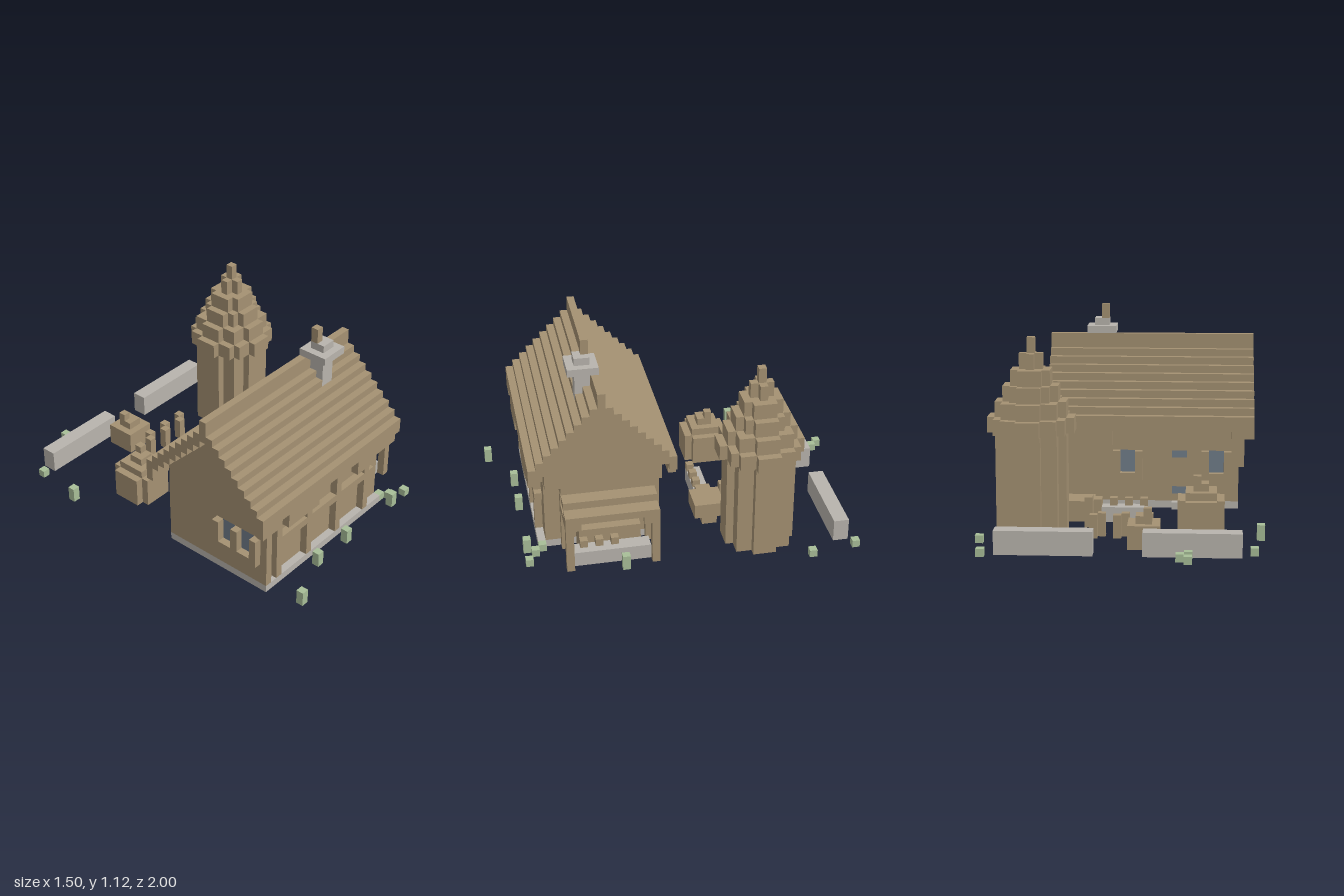
import * as THREE from 'three';

const U = 1 / 24; // one block

// The scene is an outer skin of unit blocks; each part fills a range of cells,
// and only faces open to the air are built.
export function createModel() {
  const mat = (name, color) => {
    const m = new THREE.MeshStandardMaterial({ color, side: THREE.DoubleSide });
    m.name = name;
    return m;
  };
  const wood = mat('brown wood', 0xa49172);
  const stone = mat('grey stone', 0xb8b4ad);
  const leaf = mat('pale green', 0xa8be98);
  const glass = mat('slate blue glass', 0x717d8a);

  const cells = new Map();
  const parts = new Map(); // part name -> { material, positions }
  const key = (p) => p.join(',');

  // fill a box of cells from its min and max corners; later parts replace earlier ones
  const box = (part, material, x0, x1, y0, y1, z0, z1) => {
    if (!parts.has(part)) parts.set(part, { material, positions: [] });
    for (let x = x0; x < x1; x++)
      for (let y = y0; y < y1; y++)
        for (let z = z0; z < z1; z++) cells.set(key([x, y, z]), { p: [x, y, z], part });
  };
  // round disc of blocks about the centre cell
  const disc = (part, material, cx, cz, r, y0, y1) => {
    for (let i = -r; i <= r; i++) {
      const h = Math.floor(Math.sqrt((r + 0.25) ** 2 - i * i));
      box(part, material, cx - h, cx + h + 1, y0, y1, cz + i, cz + i + 1);
    }
  };

  // ---- stepped roof and the walls below it
  const roofTop = (z) => { const d = Math.abs(z - 10); return d === 0 ? 23 : 22 - d; };
  for (let z = 1; z < 20; z++) {
    const t = roofTop(z);
    box('roof', wood, -17, 11, t - (z === 10 ? 3 : 2), t, z, z + 1);
    if (z < 3 || z > 17) continue;
    box('walls', wood, -15, 9, 1, t - 2, z, z + 1);
    box('rightGable', wood, 9, 11, 10, t - 2, z, z + 1);
  }
  box('foundation', stone, -15, 9, 0, 1, 3, 19);
  box('doorStep', stone, -9, -6, 0, 1, 2, 3);

  // uneven eave edges: start, end, lowest block
  for (const z of [1, 19])
    for (const [a, b, y] of [[-17, -14, 10], [-12, -6, 9], [2, 6, 9], [6, 10, 10]])
      box('eaveDrops', wood, a, b, y, 11, z, z + 1);

  // ---- timber frame on the front
  for (const x of [-15, -13, -7, -1, 5]) box('frontPosts', wood, x, x + 1, 1, 10, 18, 19);
  box('frontRail', wood, -13, 7, 6, 7, 18, 19);
  box('topBeam', wood, -15, 9, 10, 12, 18, 19);

  // ---- windows with sills and frames
  for (const [x0, x1] of [[-2, 2], [-14, -10]]) {
    box('windowGlass', glass, x0 + 1, x1 - 1, 5, 8, 3, 4);
    box('windowSills', wood, x0, x1, 4, 5, 2, 3);
    for (const x of [x0, x1 - 1]) box('windowFrames', wood, x, x + 1, 5, 8, 2, 3);
  }
  for (const y of [2, 7]) box('doorGlass', glass, -8, -6, y, y + 1, 3, 4);
  box('cornerGlass', glass, -14, -13, 5, 8, 17, 18);
  for (const z of [12, 15]) box('sideGlass', glass, -15, -14, 5, 8, z, z + 2);
  box('sideSill', wood, -16, -15, 4, 5, 11, 18);
  for (const z of [11, 14, 17]) box('sideFrames', wood, -16, -15, 5, 8, z, z + 1);

  // ---- chimney
  box('chimneyStack', stone, 3, 5, 18, 25, 11, 13);
  box('chimneyCap', stone, 2, 6, 23, 24, 10, 14);
  box('chimneyPot', wood, 3, 4, 25, 27, 11, 12);

  // ---- side porch with a bench and table
  for (let i = 0; i < 3; i++)
    box('porchRoof', wood, 9 + i * 2, 11 + i * 2, 9 - i, 10 - i, 4, 16);
  for (const z of [4, 15]) {
    box('porchPosts', wood, 14, 15, 0, 7, z, z + 1);
    box('porchPosts', wood, 9, 10, 0, 9, z, z + 1);
    box('porchBeams', wood, 10, 14, 6, 7, z, z + 1);
  }
  for (const z of [5, 14]) box('porchBrackets', wood, 14, 15, 6, 7, z, z + 1);
  box('workTable', wood, 9, 12, 0, 4, 6, 14);
  box('stoneBench', stone, 12, 14, 0, 2, 5, 15);
  for (const z of [9, 11, 13]) box('benchTools', wood, 12, 13, 2, 3, z, z + 1);

  // ---- round tower
  disc('towerShaft', wood, 11, -10, 4, 0, 13);
  for (let i = 0; i < 6; i++) disc('towerRoof', wood, 11, -10, 5 - i, 13 + i * 2, 15 + i * 2);

  // ---- yard: low walls, trough, table, crate
  for (const x of [-15, 3]) box('lowWalls', stone, x, x + 12, 0, 3, -21, -19);
  box('trough', stone, -3, 3, 0, 2, -5, -3);
  for (const x of [-3, -1, 1]) box('troughPegs', wood, x, x + 1, 2, 3, -4, -3);
  box('yardTable', wood, 4, 8, 1, 3, -6, -2);
  box('yardTable', wood, 4, 8, 0, 1, -5, -3);
  box('yardTable', wood, 3, 4, 0, 3, -5, -3);
  box('tablePost', wood, 4, 5, 0, 4, -8, -6);

  box('crate', wood, -5, -1, 0, 3, -18, -14);
  box('crate', wood, -4, -2, 3, 4, -17, -15);
  box('crate', wood, -4, -3, 4, 5, -17, -16);

  for (const [x, z] of [[-4, -12], [-3, -13], [-1, -12], [0, -13], [2, -12], [3, -13]])
    box('stumps', wood, x, x + 1, 0, 3, z, z + 1);

  // ---- haystack: rounded body with a stepped peak
  box('haystack', wood, -13, -7, 0, 4, -9, -5);
  box('haystack', wood, -11, -9, 5, 6, -8, -6);
  box('haystack', wood, -12, -8, 0, 4, -10, -4);
  box('haystack', wood, -12, -8, 4, 5, -9, -5);
  box('haystack', wood, -10, -9, 6, 7, -8, -7);

  // ---- small plants: x, z, height
  const spots = [
    [-9, -24, 1], [-8, -23, 1], [-9, -22, 1], [-17, -20, 1], [-18, -13, 2], [16, -22, 1],
    [17, -16, 1], [15, 8, 2], [-7, 20, 2], [-1, 20, 2], [9, 20, 2], [12, 20, 1], [10, 19, 1],
    [9, 18, 1], [-14, 23, 2],
  ];
  for (const [x, z, h] of spots) box('plants', leaf, x, x + 1, 0, h, z, z + 1);

  // ---- skin: one quad per open face, with the ground side left open
  for (const { p, part } of cells.values()) {
    const out = parts.get(part).positions;
    for (let a = 0; a < 3; a++) {
      for (const s of [-1, 1]) {
        const next = [...p];
        next[a] += s;
        if (next[1] < 0 || cells.has(key(next))) continue;
        const corner = (u, v) => {
          const c = [...p];
          if (s > 0) c[a] += 1;
          c[(a + 1) % 3] += u;
          c[(a + 2) % 3] += v;
          return c.map((n) => n * U);
        };
        const q = [corner(0, 0), corner(1, 0), corner(1, 1), corner(0, 1)];
        if (s < 0) q.reverse();
        for (const i of [0, 1, 2, 0, 2, 3]) out.push(...q[i]);
      }
    }
  }

  const root = new THREE.Group();
  for (const [name, { material, positions }] of parts) {
    const geometry = new THREE.BufferGeometry();
    geometry.setAttribute('position', new THREE.Float32BufferAttribute(positions, 3));
    geometry.computeVertexNormals();
    const mesh = new THREE.Mesh(geometry, material);
    mesh.name = name;
    root.add(mesh);
  }
  return root;
}
